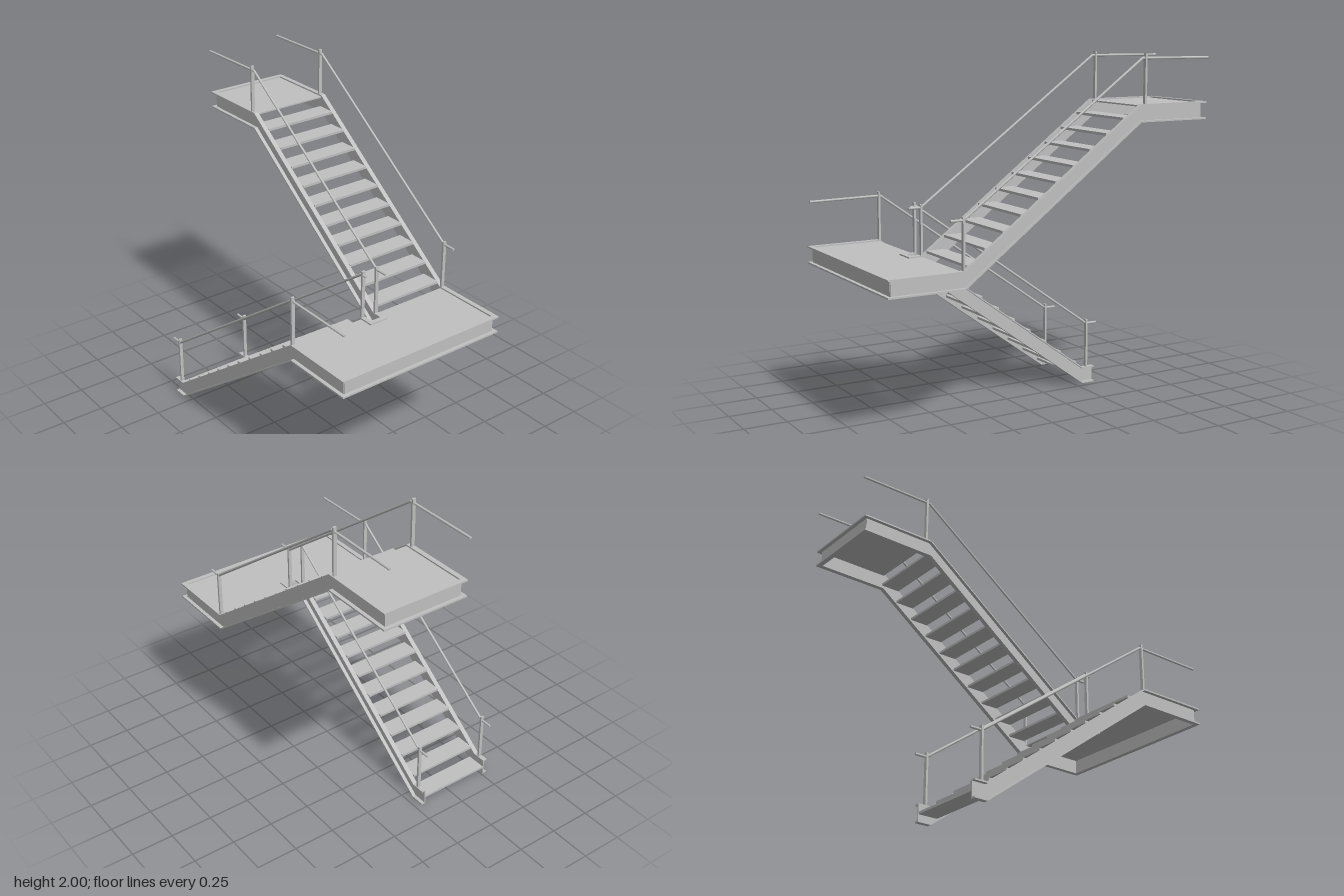
import * as THREE from 'three';

const steel = new THREE.MeshStandardMaterial({ color: 0xc0c0c0 });
steel.name = 'grey steel';

const H = 0.1;       // channel depth
const FT = 0.009;    // flange thickness
const WEB = 0.007;   // web thickness
const FW = 0.028;    // flange width

function box(parent, name, x0, x1, y0, y1, z0, z1) {
  const m = new THREE.Mesh(new THREE.BoxGeometry(x1 - x0, y1 - y0, z1 - z0), steel);
  m.position.set((x0 + x1) / 2, (y0 + y1) / 2, (z0 + z1) / 2);
  m.name = name;
  parent.add(m);
}

// Band that follows a path of [x, y] points, between two heights above it
function band(parent, name, path, low, high, z0, z1) {
  const pts = [
    ...path.map(([x, y]) => new THREE.Vector2(x, y + low)),
    ...[...path].reverse().map(([x, y]) => new THREE.Vector2(x, y + high)),
  ];
  const geo = new THREE.ExtrudeGeometry(new THREE.Shape(pts), { depth: z1 - z0, bevelEnabled: false });
  const m = new THREE.Mesh(geo, steel);
  m.position.z = z0;
  m.name = name;
  parent.add(m);
}

// Cranked channel: web on the inside face, flanges pointing to side (+1 or -1)
function stringer(name, path, webPath, z, side) {
  const g = new THREE.Group();
  g.name = name;
  const span = (w) => (side > 0 ? [z, z + w] : [z - w, z]);
  band(g, 'web', webPath, FT, H - FT, ...span(WEB));
  band(g, 'bottomFlange', path, 0, FT, ...span(FW));
  band(g, 'topFlange', path, H - FT, H, ...span(FW));
  return g;
}

// Straight channel running along z, flanges pointing to side in x
function crossChannel(name, x, y, z0, z1, side, inset) {
  const g = new THREE.Group();
  g.name = name;
  const span = (w) => (side > 0 ? [x, x + w] : [x - w, x]);
  box(g, 'web', ...span(WEB), y + FT, y + H - FT, z0 + inset, z1 - inset);
  box(g, 'bottomFlange', ...span(FW), y, y + FT, z0, z1);
  box(g, 'topFlange', ...span(FW), y + H - FT, y + H, z0, z1);
  return g;
}

// Round handrail through [x, y] points, with ball joints at the bends
function handrail(name, points, z) {
  const g = new THREE.Group();
  g.name = name;
  const r = 0.007;
  const v = points.map(([x, y]) => new THREE.Vector3(x, y, z));
  for (let i = 0; i < v.length - 1; i++) {
    const d = v[i + 1].clone().sub(v[i]);
    const m = new THREE.Mesh(new THREE.CylinderGeometry(r, r, d.length(), 12), steel);
    m.position.copy(v[i]).addScaledVector(d, 0.5);
    m.quaternion.setFromUnitVectors(new THREE.Vector3(0, 1, 0), d.normalize());
    m.name = 'railTube';
    g.add(m);
    if (i > 0) {
      const ball = new THREE.Mesh(new THREE.SphereGeometry(r, 12, 8), steel);
      ball.position.copy(v[i]);
      ball.name = 'railJoint';
      g.add(ball);
    }
  }
  return g;
}

function post(parent, x, y0, y1, z) {
  box(parent, 'railPost', x - 0.006, x + 0.006, y0, y1, z - 0.01, z + 0.01);
}

export function createModel() {
  const model = new THREE.Group();
  model.name = 'staircase';
  const RISE = 0.0797, RUN = 0.1077, MID = 0.815, TOP = 1.628;

  // Lower flight
  const lower = new THREE.Group();
  lower.name = 'lowerFlight';
  const lowPath = (end) => [[-0.635, 0.003], [-0.555, 0.003], [0.555, MID], [end, MID]];
  lower.add(stringer('lowerOuterStringer', lowPath(0.995), lowPath(0.972), 0.507, 1));
  lower.add(stringer('lowerInnerStringer', lowPath(0.615), lowPath(0.615), 0.067, -1));
  for (let i = 0; i < 11; i++) {
    const x = -0.633 + RUN * i, y = 0.058 + RISE * i;
    box(lower, 'tread', x, x + 0.115, y - 0.014, y, 0.067, 0.507);
  }
  model.add(lower);

  // Upper flight
  const upper = new THREE.Group();
  upper.name = 'upperFlight';
  const upPath = (a, b) => [[a, TOP], [-0.54, TOP], [0.555, MID], [b, MID]];
  upper.add(stringer('upperOuterStringer', upPath(-0.985, 0.995), upPath(-0.962, 0.972), -0.507, -1));
  upper.add(stringer('upperInnerStringer', upPath(-0.985, 0.615), upPath(-0.962, 0.615), -0.05, 1));
  for (let i = 0; i < 10; i++) {
    const x = 0.536 - RUN * i, y = 0.94 + RISE * i;
    box(upper, 'tread', x - 0.115, x, y - 0.014, y, -0.507, -0.05);
  }
  model.add(upper);

  // Middle landing, notched between the two flights
  const landing = new THREE.Group();
  landing.name = 'middleLanding';
  const py = MID + H - 0.008;
  box(landing, 'floorPlate', 0.61, 0.967, py - 0.008, py, -0.507, 0.507);
  box(landing, 'floorPlateFront', 0.56, 0.61, py - 0.008, py, 0.067, 0.507);
  box(landing, 'floorPlateBack', 0.56, 0.61, py - 0.008, py, -0.507, -0.05);
  landing.add(crossChannel('landingEndBeam', 0.967, MID, -0.535, 0.535, 1, 0.024));
  landing.add(crossChannel('landingNotchBeam', 0.615, MID, -0.05, 0.067, 1, 0));
  model.add(landing);

  // Top landing
  const topLanding = new THREE.Group();
  topLanding.name = 'topLanding';
  const ty = TOP + H - 0.008;
  box(topLanding, 'floorPlate', -0.957, -0.54, ty - 0.008, ty, -0.507, -0.05);
  topLanding.add(crossChannel('topEndBeam', -0.957, TOP, -0.535, -0.022, -1, 0.024));
  model.add(topLanding);

  // Handrails and posts
  const rails = new THREE.Group();
  rails.name = 'railings';
  for (const [z, end] of [[0.52, 0.98], [0.054, 0.58]]) {
    rails.add(handrail('lowerHandrail', [[-0.655, 0.37], [-0.585, 0.37], [0.545, 1.172], [end, 1.168]], z));
    post(rails, -0.585, 0.1, 0.395, z);
    post(rails, 0.555, MID + H - 0.005, 1.195, z);
  }
  for (const z of [-0.52, -0.035]) {
    rails.add(handrail('upperHandrail', [[-1, 1.972], [-0.55, 1.976], [0.56, 1.178], [0.635, 1.178]], z));
    post(rails, -0.57, TOP + H - 0.005, 2, z);
    post(rails, 0.56, MID + H - 0.005, 1.195, z);
  }
  model.add(rails);

  return model;
}
